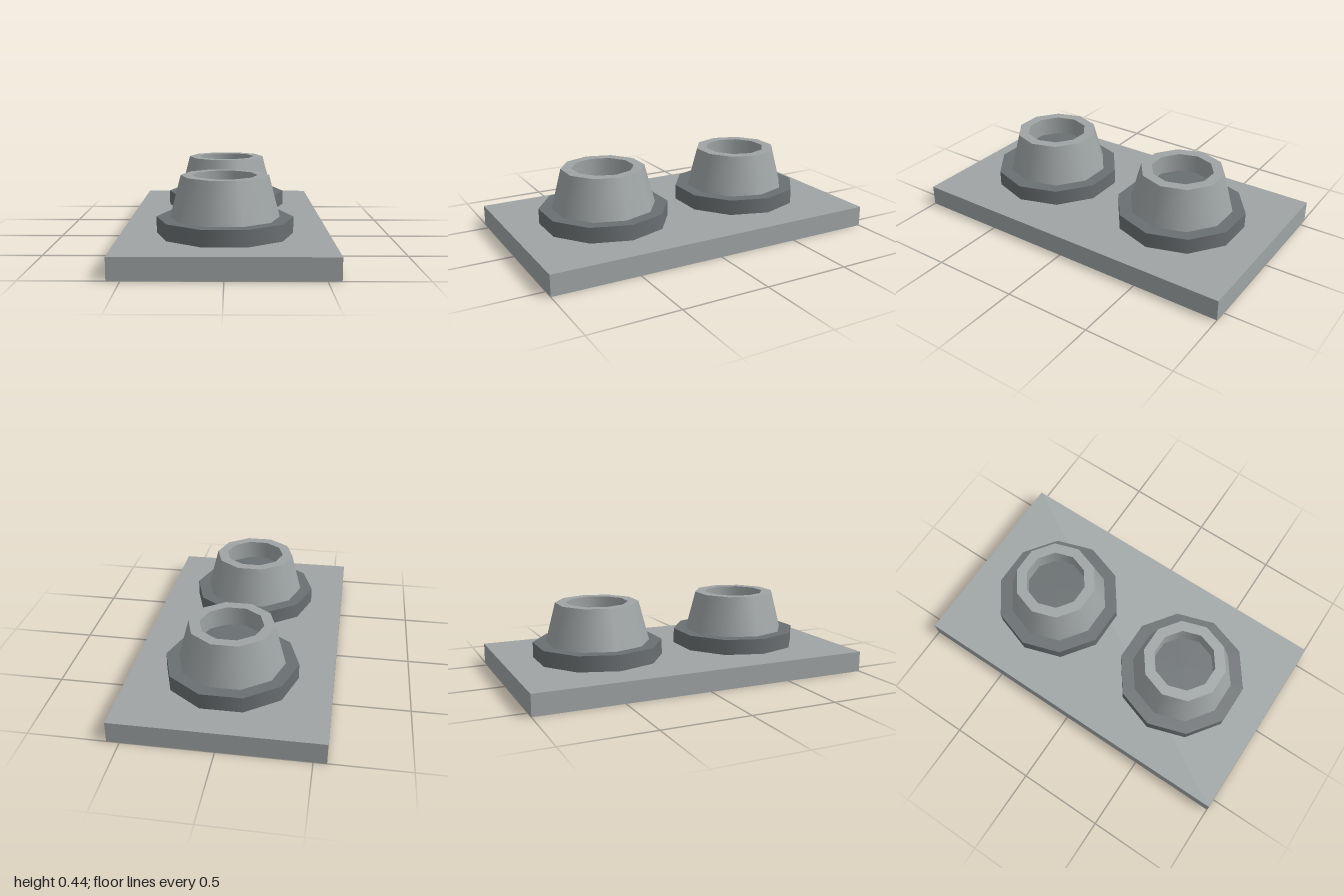
import * as THREE from 'three';

const SIDES = 10;

export function createModel() {
  const model = new THREE.Group();
  model.name = 'twinSocketPlate';

  const lightGrey = new THREE.MeshStandardMaterial({ color: 0x9fa4a4, side: THREE.DoubleSide });
  lightGrey.name = 'lightGrey';
  const darkGrey = new THREE.MeshStandardMaterial({ color: 0x6a6f71, side: THREE.DoubleSide });
  darkGrey.name = 'darkGrey';

  const add = (parent, name, geometry, material) => {
    const mesh = new THREE.Mesh(geometry, material);
    mesh.name = name;
    parent.add(mesh);
    return mesh;
  };

  // Ten-sided wall with a corner on the x axis
  const wall = (rTop, rBottom, y0, y1) =>
    new THREE.CylinderGeometry(rTop, rBottom, y1 - y0, SIDES, 1, true, Math.PI / 2)
      .translate(0, (y0 + y1) / 2, 0);

  // Flat ten-sided ring facing up
  const ring = (rInner, rOuter, y) =>
    new THREE.RingGeometry(rInner, rOuter, SIDES, 1).rotateX(-Math.PI / 2).translate(0, y, 0);

  // Flat ten-sided disc facing up
  const disc = (r, y) =>
    new THREE.CircleGeometry(r, SIDES).rotateX(-Math.PI / 2).translate(0, y, 0);

  // Base plate: a shallow box, open underneath (the -y face is dropped)
  const plate = new THREE.BoxGeometry(1.14, 0.12, 2).translate(0, 0.06, 0);
  const index = Array.from(plate.index.array);
  index.splice(18, 6);
  plate.setIndex(index);
  plate.clearGroups();
  add(model, 'basePlate', plate, lightGrey);

  // Two identical sockets, front and back
  for (const side of [1, -1]) {
    const socket = new THREE.Group();
    socket.name = side > 0 ? 'frontSocket' : 'backSocket';
    socket.position.z = 0.45 * side;
    model.add(socket);

    // Dark collar
    add(socket, 'collarWall', wall(0.375, 0.375, 0.12, 0.21), darkGrey);
    add(socket, 'collarTop', ring(0.3, 0.375, 0.21), darkGrey);

    // Tapered cup with a recessed dark floor
    add(socket, 'cupWall', wall(0.24, 0.3, 0.21, 0.44), lightGrey);
    add(socket, 'cupRim', ring(0.178, 0.24, 0.44), lightGrey);
    const bore = wall(0.178, 0.178, 0.33, 0.44);
    bore.scale(-1, 1, 1); // turns the wall inside out
    bore.attributes.normal.array.forEach((v, i, a) => { if (i % 3 !== 1) a[i] = -v; });
    // Normals follow the flipped faces, pointing to the axis
    const p = bore.attributes.position;
    for (let i = 0; i < p.count; i++) {
      const r = Math.hypot(p.getX(i), p.getZ(i));
      bore.attributes.normal.setXYZ(i, -p.getX(i) / r, 0, -p.getZ(i) / r);
    }
    add(socket, 'cupBore', bore, lightGrey);
    add(socket, 'cupFloor', disc(0.178, 0.33), darkGrey);
  }

  return model;
}
